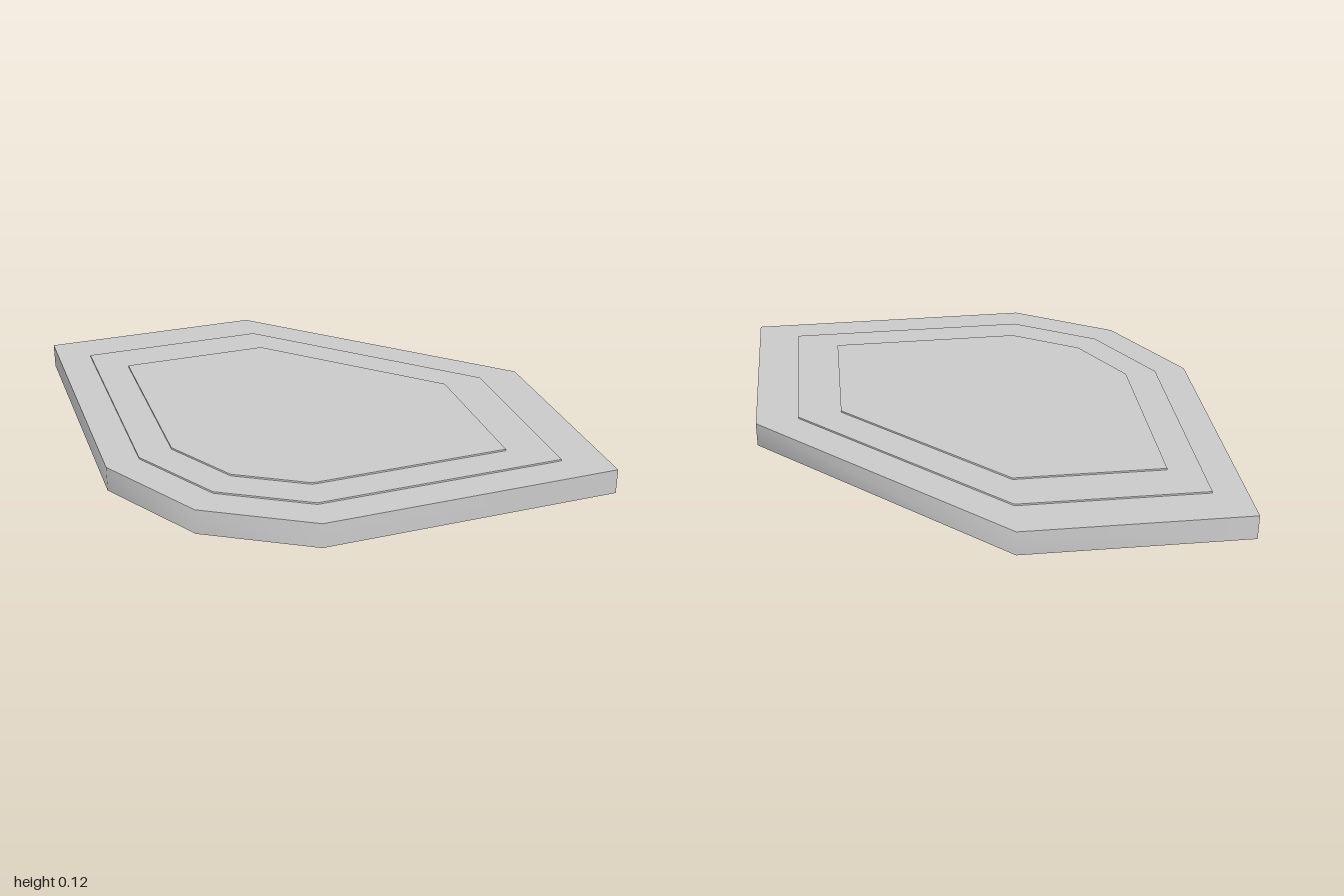
import * as THREE from 'three';
import { toCreasedNormals } from 'three/addons/utils/BufferGeometryUtils.js';

// Plan of the outer plate as [x, z], clockwise seen from above
const OUTLINE = [
  [-0.995, -1], [-0.02, -1], [1, -0.01], [0.99, 0.985],
  [-0.3, 1], [-0.74, 0.74], [-1, 0.29],
];
const CENTRE = [-0.13, 0.13];
const HEIGHT = 0.11;

// Shallow lid with an open underside: a wall around the outline and a flat cap
function lidGeometry(scale, bottom) {
  const top = bottom + HEIGHT;
  const ring = OUTLINE.map((p) => p.map((v, k) => CENTRE[k] + (v - CENTRE[k]) * scale));
  const at = (i, y) => {
    const [x, z] = ring[i % ring.length];
    return [x, y, z];
  };
  const positions = [];
  for (let i = 0; i < ring.length; i++) {
    positions.push(...at(i, bottom), ...at(i, top), ...at(i + 1, top));
    positions.push(...at(i, bottom), ...at(i + 1, top), ...at(i + 1, bottom));
  }
  for (let i = 1; i < ring.length - 1; i++) {
    positions.push(...at(0, top), ...at(i + 1, top), ...at(i, top));
  }
  const geometry = new THREE.BufferGeometry();
  geometry.setAttribute('position', new THREE.Float32BufferAttribute(positions, 3));
  // Gentle corners shade smoothly, square corners and the rim stay sharp
  return toCreasedNormals(geometry, Math.PI / 3);
}

export function createModel() {
  const group = new THREE.Group();
  group.name = 'steppedPlate';
  const material = new THREE.MeshStandardMaterial({ color: 0xcccccc, side: THREE.DoubleSide });

  // Three nested lids, each smaller and slightly raised
  ['outerPlate', 'middlePlate', 'innerPlate'].forEach((name, i) => {
    const mesh = new THREE.Mesh(lidGeometry(1 - i / 6, i * 0.0075), material);
    mesh.name = name;
    group.add(mesh);
  });
  return group;
}
